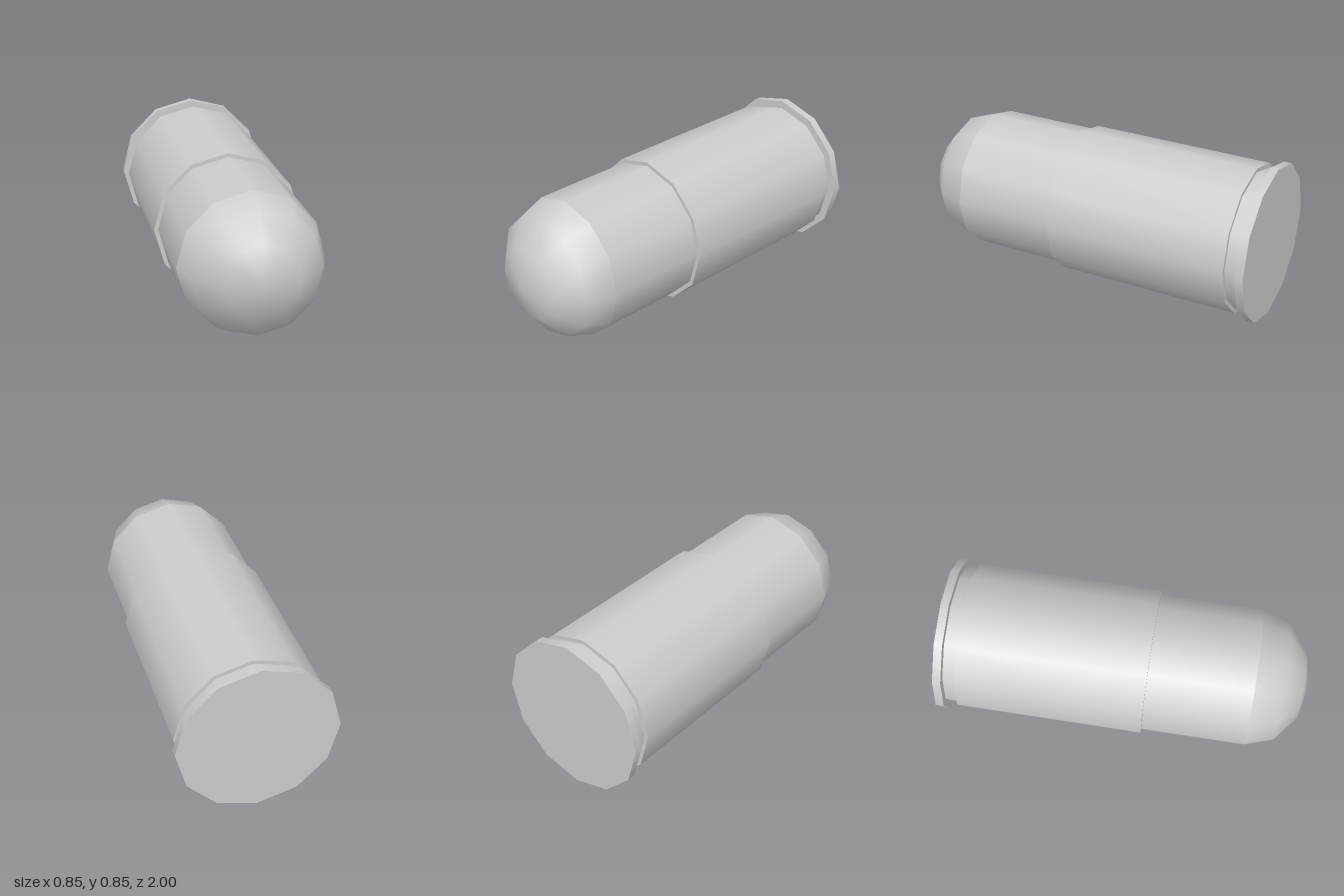
import * as THREE from 'three';
import { mergeVertices } from 'three/addons/utils/BufferGeometryUtils.js';

const SIDES = 12;
const RIM_RADIUS = 0.427;
const CASE_RADIUS = 0.405;
const CORE_RADIUS = 0.383;
const material = new THREE.MeshStandardMaterial({ color: 0xcccccc });

// Cylinder lying along z, from zBack to zFront
function section(name, radius, zBack, zFront, open = false) {
  const geometry = new THREE.CylinderGeometry(radius, radius, zFront - zBack, SIDES, 1, open);
  geometry.rotateX(Math.PI / 2).translate(0, 0, (zBack + zFront) / 2);
  const mesh = new THREE.Mesh(geometry, material);
  mesh.name = name;
  return mesh;
}

// Rounded nose: half an ellipse in three steps, turned about z
function nose(radius, zBack, zFront) {
  const profile = [];
  for (let i = 0; i <= 3; i++) {
    const a = (i / 3) * Math.PI / 2;
    profile.push(new THREE.Vector2(i === 3 ? 0 : radius * Math.cos(a), (zFront - zBack) * Math.sin(a)));
  }
  let geometry = new THREE.LatheGeometry(profile, SIDES);
  // Weld the seam and tip so the dome shades smoothly
  geometry.deleteAttribute('uv');
  geometry.deleteAttribute('normal');
  geometry = mergeVertices(geometry, 1e-4);
  geometry.computeVertexNormals();
  geometry.rotateX(Math.PI / 2).translate(0, 0, zBack);
  const mesh = new THREE.Mesh(geometry, material);
  mesh.name = 'nose';
  return mesh;
}

export function createModel() {
  const model = new THREE.Group();
  model.name = 'cartridge';
  model.add(
    section('baseRim', RIM_RADIUS, -1, -0.955),
    section('extractorGroove', CORE_RADIUS, -0.955, -0.885, true),
    section('casing', CASE_RADIUS, -0.885, 0.13),
    section('bulletBody', CORE_RADIUS, 0.13, 0.695, true),
    nose(CORE_RADIUS, 0.695, 1),
  );
  // Rest the rim on the ground
  model.children.forEach((part) => { part.position.y = RIM_RADIUS; });
  return model;
}
